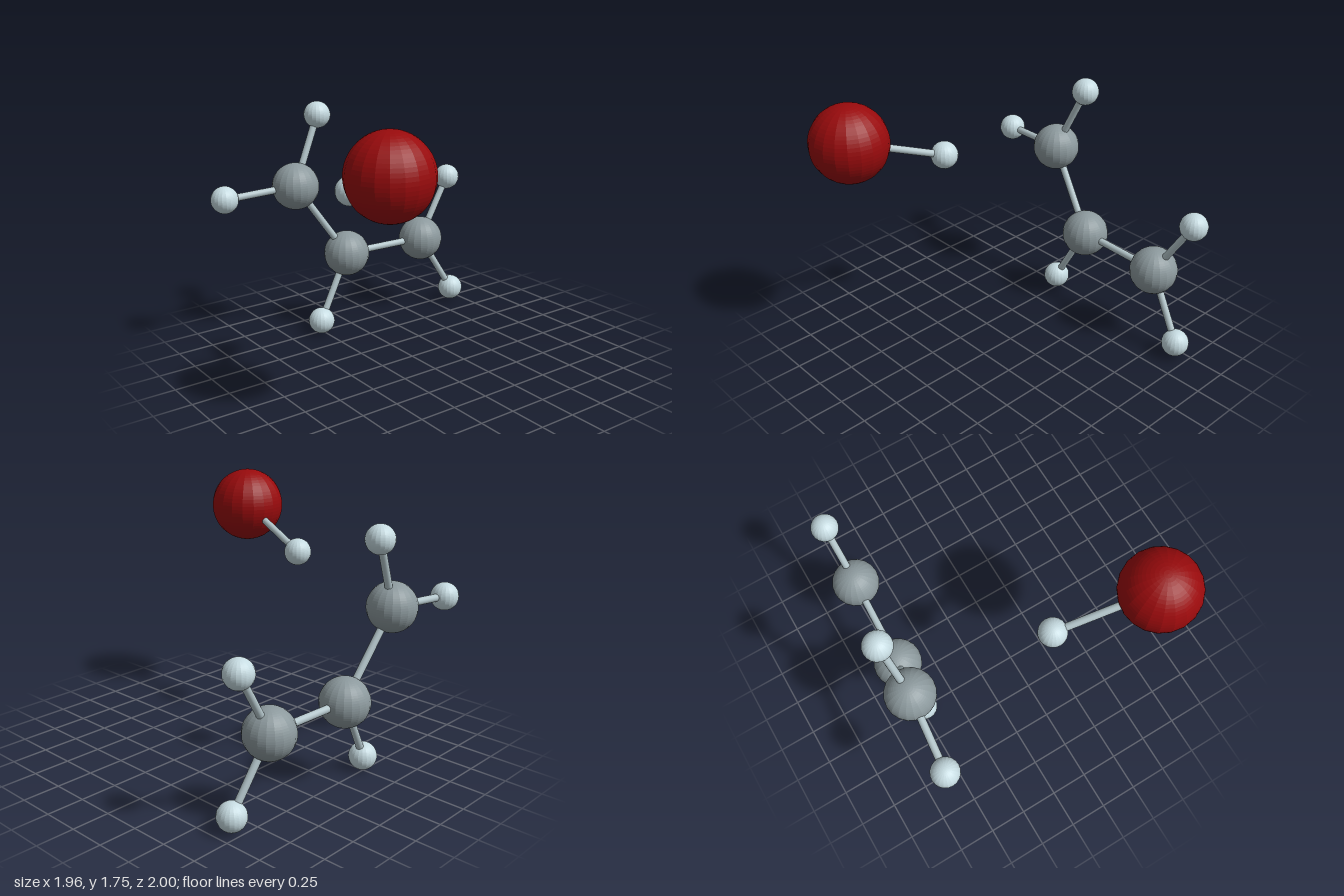
import * as THREE from 'three';

// Ball-and-stick model: a three-carbon chain with a separate two-atom group
export function createModel() {
  const model = new THREE.Group();
  const material = (color, flatShading) => new THREE.MeshStandardMaterial({ color, flatShading });
  const kinds = {
    carbon: { radius: 0.163, material: material(0x8c999d, true) },
    hydrogen: { radius: 0.093, material: material(0xc6dbe1, true) },
    halogen: { radius: 0.257, material: material(0x980a0c, true) },
  };
  const bondMaterial = material(0xb4c6cb, false);

  // Atoms: name, kind, centre
  const atoms = {};
  const addAtom = (name, kind, x, y, z) => {
    const { radius, material } = kinds[kind];
    const mesh = new THREE.Mesh(new THREE.SphereGeometry(radius, 20, 32), material);
    mesh.name = name;
    mesh.position.set(x, y, z);
    atoms[name] = mesh.position;
    model.add(mesh);
  };
  addAtom('upperCarbon', 'carbon', -0.82, 1.1, 0.39);
  addAtom('middleCarbon', 'carbon', -0.76, 0.557, 0.02);
  addAtom('rearCarbon', 'carbon', -0.733, 0.555, -0.635);
  addAtom('upperHydrogenTop', 'hydrogen', -0.867, 1.57, 0.172);
  addAtom('upperHydrogenFront', 'hydrogen', -0.872, 1.072, 0.905);
  addAtom('middleHydrogen', 'hydrogen', -0.731, 0.1, 0.265);
  addAtom('rearHydrogenTop', 'hydrogen', -0.754, 0.995, -0.905);
  addAtom('rearHydrogenBottom', 'hydrogen', -0.69, 0.112, -0.9);
  addAtom('largeAtom', 'halogen', 0.724, 1.505, 0.701);
  addAtom('looseHydrogen', 'hydrogen', 0.093, 1.275, 0.544);

  // Bonds: rods between atom centres
  const up = new THREE.Vector3(0, 1, 0);
  const bonds = [
    ['upperCarbon', 'middleCarbon'],
    ['middleCarbon', 'rearCarbon'],
    ['upperCarbon', 'upperHydrogenTop'],
    ['upperCarbon', 'upperHydrogenFront'],
    ['middleCarbon', 'middleHydrogen'],
    ['rearCarbon', 'rearHydrogenTop'],
    ['rearCarbon', 'rearHydrogenBottom'],
    ['largeAtom', 'looseHydrogen'],
  ];
  for (const [from, to] of bonds) {
    const a = atoms[from], b = atoms[to];
    const direction = b.clone().sub(a);
    const rod = new THREE.Mesh(
      new THREE.CylinderGeometry(0.025, 0.025, direction.length(), 16), bondMaterial);
    rod.name = `bond ${from} to ${to}`;
    rod.position.copy(a).add(b).multiplyScalar(0.5);
    rod.quaternion.setFromUnitVectors(up, direction.normalize());
    model.add(rod);
  }
  return model;
}
